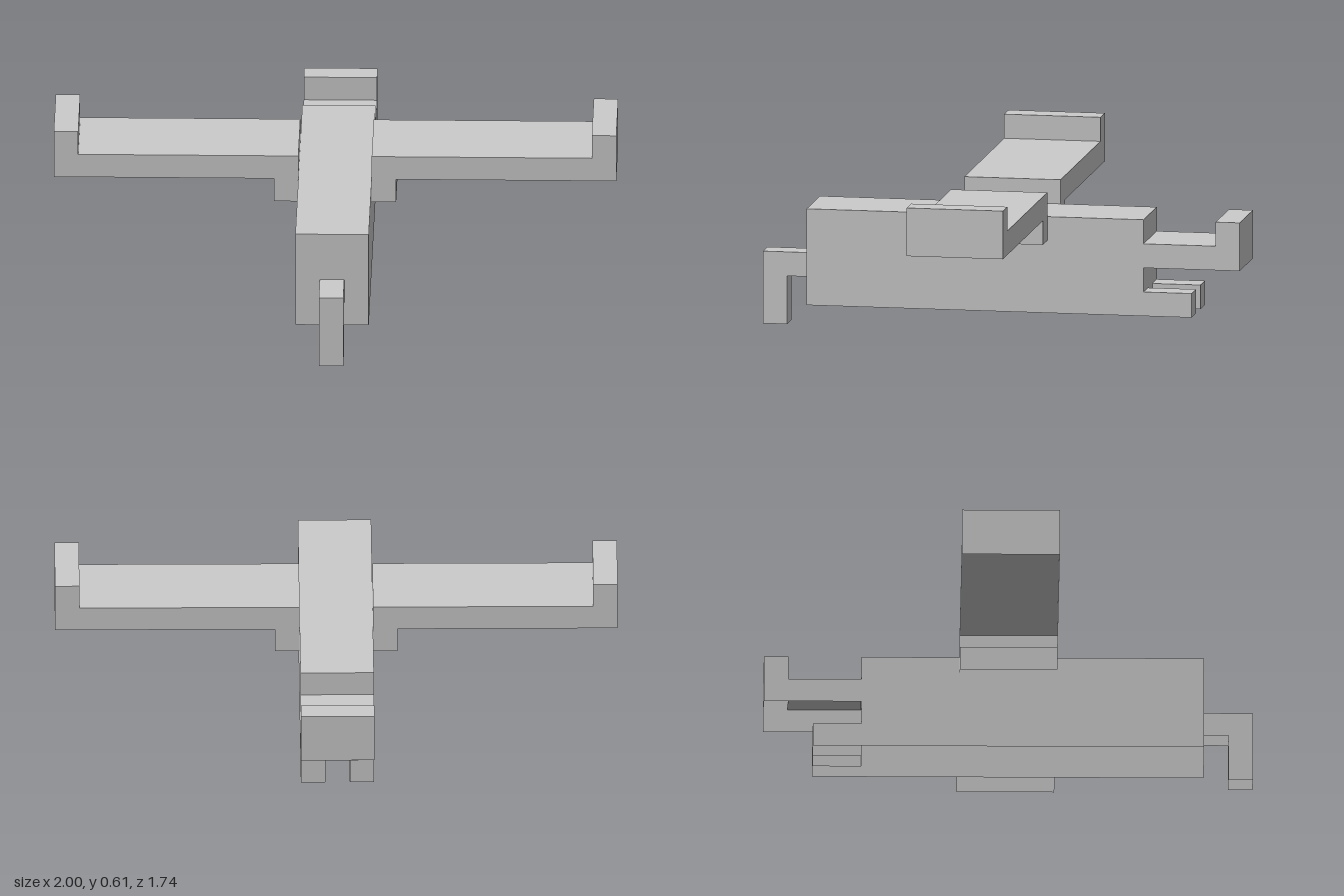
import * as THREE from 'three';

const U = 2 / 23; // grid step: the wings span 23 steps
const material = new THREE.MeshStandardMaterial({ color: 0xcccccc, flatShading: true, side: THREE.DoubleSide });

// Extrude a stepped profile evenly about its plane, leaving the undersides open
function shell(name, profile, width, alongX) {
  const shape = new THREE.Shape(profile.map(([a, b]) => new THREE.Vector2(a * U, b * U)));
  const solid = new THREE.ExtrudeGeometry(shape, { depth: width * U, bevelEnabled: false });
  solid.translate(0, 0, -width * U / 2);
  if (alongX) solid.rotateY(-Math.PI / 2); // profile x becomes model z

  const pos = solid.attributes.position;
  const normal = solid.attributes.normal;
  const kept = [];
  for (let i = 0; i < pos.count; i += 3) {
    if (normal.getY(i) < -0.5) continue;
    for (let k = i; k < i + 3; k++) kept.push(pos.getX(k), pos.getY(k), pos.getZ(k));
  }
  const geometry = new THREE.BufferGeometry();
  geometry.setAttribute('position', new THREE.Float32BufferAttribute(kept, 3));
  geometry.computeVertexNormals();
  const mesh = new THREE.Mesh(geometry, material);
  mesh.name = name;
  return mesh;
}

export function createModel() {
  const model = new THREE.Group();
  model.name = 'blockyAircraft';

  // Fuselage with the upturned tail plate, profile in (z, y)
  model.add(shell('fuselageAndTail', [
    [8, 1], [8, 5], [-6, 5], [-6, 4], [-9, 4], [-9, 5],
    [-10, 5], [-10, 3], [-6, 3], [-6, 1],
  ], 3, true));

  // Nose hook
  model.add(shell('noseHook', [[8, 2], [8, 3], [10, 3], [10, 0], [9, 0], [9, 2]], 1, true));

  for (const side of [1, -1]) {
    const label = side > 0 ? 'left' : 'right';

    // Wing with root block and raised tip, profile in (x, y)
    const wing = [
      [1.5, 4], [1.5, 6], [10.5, 6], [10.5, 7],
      [11.5, 7], [11.5, 5], [2.5, 5], [2.5, 4],
    ].map(([x, y]) => [side * x, y]);
    model.add(shell(label + 'Wing', wing, 4, false));

    // Short prong under the tail
    const prong = shell(label + 'RearProng', [[-6, 1], [-6, 2], [-8, 2], [-8, 1]], 1, true);
    prong.position.x = side * U;
    model.add(prong);
  }
  return model;
}
